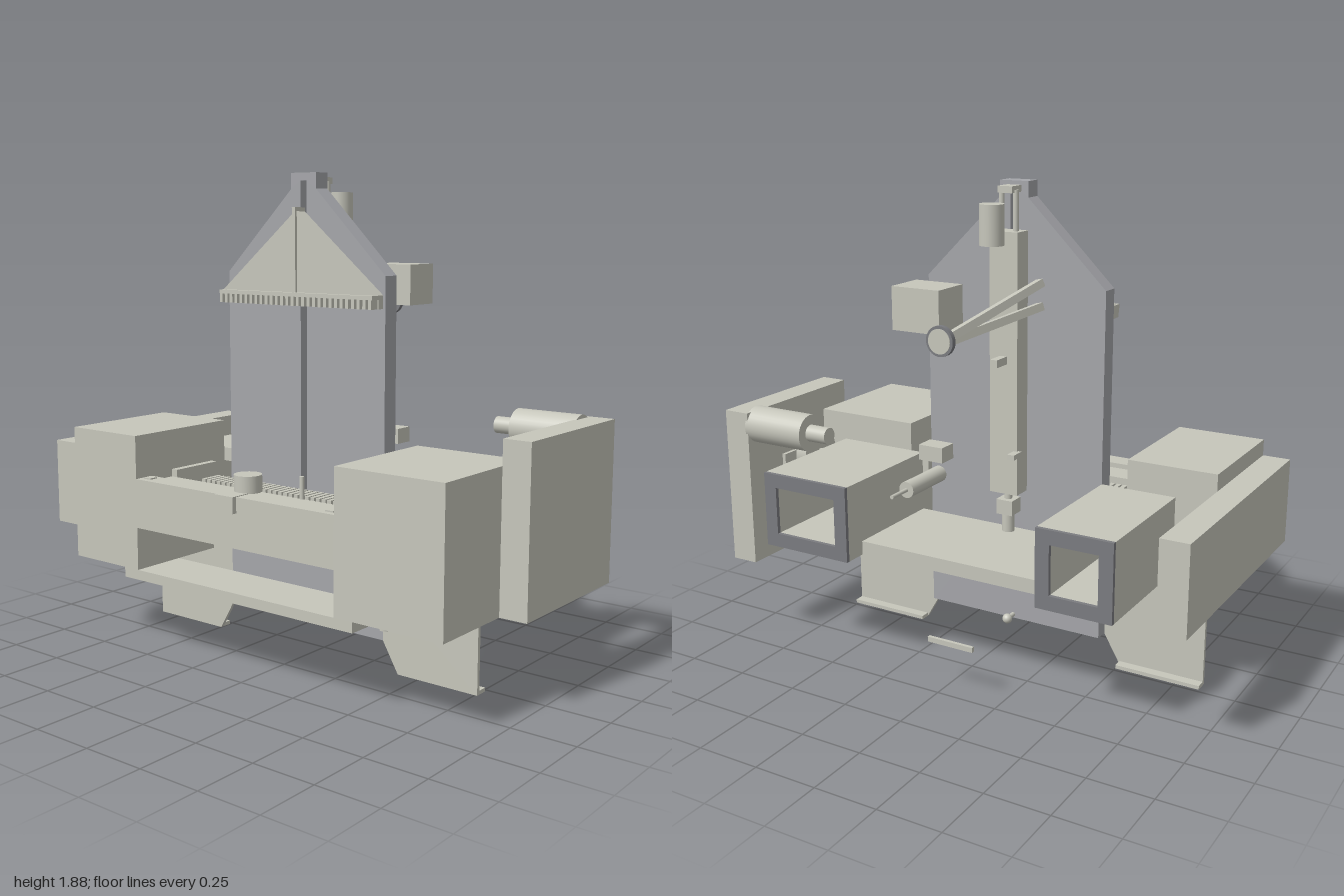
import * as THREE from 'three';

export function createModel() {
  const root = new THREE.Group();
  root.name = 'machine';
  const mat = (name, color) => {
    const m = new THREE.MeshStandardMaterial({ color });
    m.name = name;
    return m;
  };
  const shell = mat('warm grey', 0xc6c6bb);
  const steel = mat('blue grey', 0xa5a6aa);
  const dark = mat('dark grey', 0x7b7c80);

  const add = (name, geo, m = shell, parent = root) => {
    const mesh = new THREE.Mesh(geo, m);
    mesh.name = name;
    parent.add(mesh);
    return mesh;
  };
  // Box from its extents on each axis
  const box = (name, x0, x1, y0, y1, z0, z1, m, parent) => {
    const mesh = add(name, new THREE.BoxGeometry(x1 - x0, y1 - y0, z1 - z0), m, parent);
    mesh.position.set((x0 + x1) / 2, (y0 + y1) / 2, (z0 + z1) / 2);
    return mesh;
  };
  // Cylinder or square bar between two points
  const UP = new THREE.Vector3(0, 1, 0);
  const between = (mesh, a, b) => {
    mesh.position.copy(a).add(b).multiplyScalar(0.5);
    mesh.quaternion.setFromUnitVectors(UP, b.clone().sub(a).normalize());
    return mesh;
  };
  const rod = (name, p, q, r, m, r2 = r) => {
    const a = new THREE.Vector3(...p), b = new THREE.Vector3(...q);
    return between(add(name, new THREE.CylinderGeometry(r2, r, a.distanceTo(b), 32), m), a, b);
  };
  // Flat outline in x/y, extruded from z0 to z1
  const pts = (list) => list.map(([x, y]) => new THREE.Vector2(x, y));
  const rect = (x0, x1, y0, y1) => [[x0, y0], [x1, y0], [x1, y1], [x0, y1]];
  const slab = (name, outline, z0, z1, m, holes = []) => {
    const s = new THREE.Shape(pts(outline));
    holes.forEach((h) => s.holes.push(new THREE.Path(pts(h))));
    const mesh = add(name, new THREE.ExtrudeGeometry(s, { depth: z1 - z0, bevelEnabled: false }), m);
    mesh.position.z = z0;
    return mesh;
  };

  const cx = -0.045; // centre line of plate and column

  // Tall back plate with a vertical slot
  slab('backPlate', [[-0.43, 0.12], [0.34, 0.12], [0.34, 1.5], [0.015, 1.82], [0.015, 1.88],
    [-0.105, 1.88], [-0.105, 1.82], [-0.43, 1.5]], 0, 0.07, steel,
  [rect(cx - 0.015, cx + 0.015, 0.6, 1.85)]);

  // Column, guide rods and cap behind the plate
  box('column', -0.105, 0.015, 0.68, 1.7, -0.08, 0);
  for (const dx of [-0.03, 0.03]) rod('guideRod', [cx + dx, 1.7, -0.04], [cx + dx, 1.85, -0.04], 0.011);
  box('columnCap', -0.075, -0.015, 1.84, 1.865, -0.07, 0);
  rod('columnFoot', [cx, 0.51, -0.04], [cx, 0.6, -0.04], 0.025);
  box('footCollar', cx - 0.035, cx + 0.035, 0.59, 0.65, -0.075, -0.005);
  rod('footSpindle', [cx, 0.65, -0.04], [cx, 0.68, -0.04], 0.015);
  rod('motor', [cx, 1.66, -0.165], [cx, 1.81, -0.165], 0.046);
  box('columnStop', cx - 0.015, cx + 0.015, 1.2, 1.23, -0.155, -0.08);
  box('columnStop', -0.12, -0.09, 0.84, 0.86, -0.13, -0.07);

  // Triangular carriage with hanging needle comb
  slab('carriage', [[-0.42, 1.43], [0.33, 1.43], [cx, 1.74]], 0.07, 0.115);
  box('carriageStrip', cx - 0.008, cx + 0.008, 1.43, 1.75, 0.12, 0.13);
  box('carriageTab', cx - 0.008, cx + 0.008, 1.735, 1.75, 0.07, 0.13);
  box('carriageBar', -0.42, 0.33, 1.415, 1.43, 0.07, 0.14);
  box('carriageBarBack', -0.42, 0.33, 1.38, 1.415, 0.07, 0.1);
  for (let i = 0; i < 29; i++) {
    const x = -0.418 + i * 0.0261;
    box('carriageTooth', x, x + 0.014, 1.38, 1.415, 0.1, 0.14);
  }

  // Front housing: two side boxes joined by a beam and a lower tray
  box('housingRight', 0.44, 0.89, 0.34, 0.875, 0, 0.505);
  box('housingLeft', -0.89, -0.535, 0.34, 0.875, 0, 0.505);
  box('sideChannel', -1, -0.89, 0.47, 0.81, -0.53, 0.505);
  box('controlCabinet', 0.89, 1, 0.34, 0.97, -0.48, 0.15);
  box('frontBeam', -0.535, 0.44, 0.51, 0.705, 0.42, 0.505);
  box('beamStep', -0.535, 0.44, 0.51, 0.685, 0.31, 0.42);
  box('beamLedge', -0.5, 0.41, 0.51, 0.65, 0.25, 0.31);
  box('lowerTray', -0.61, 0.52, 0.3, 0.34, 0.28, 0.505);

  // Lower needle comb between the side boxes
  box('combBase', -0.49, 0.4, 0.58, 0.63, 0.17, 0.25);
  for (let i = 0; i < 29; i++) {
    const x = -0.425 + i * 0.0265;
    box('combTooth', x, x + 0.018, 0.61, 0.68, 0.155, 0.25);
  }
  for (const [s, x] of [[1, -0.535], [-1, 0.44]]) {
    box('combBracket', Math.min(x, x + s * 0.03), Math.max(x, x + s * 0.03), 0.6, 0.715, 0.08, 0.31);
  }

  // Beam fittings
  box('knobBlock', -0.1, -0.01, 0.645, 0.708, 0.42, 0.525);
  rod('knob', [cx, 0.705, 0.4], [cx, 0.77, 0.4], 0.053);
  rod('pin', [0.14, 0.68, 0.31], [0.14, 0.77, 0.31], 0.009);
  for (const x of [-0.5, 0.4]) box('beamPad', x - 0.018, x + 0.018, 0.7, 0.71, 0.445, 0.48);

  // Sheet legs with folded feet
  for (const s of [-1, 1]) {
    const X = (d) => cx + s * d;
    slab('leg', [[X(0.385), 0.36], [X(0.385), 0.12], [X(0.455), 0], [X(0.805), 0], [X(0.805), 0.36]],
      0.055, 0.07);
    box('foot', Math.min(X(0.455), X(0.805)), Math.max(X(0.455), X(0.805)), 0, 0.015, 0.015, 0.06);
  }

  // Rear hollow arms with dark end frames, and the deck between them
  for (const [x0, x1] of [[-0.73, -0.43], [0.385, 0.775]]) {
    const hole = rect(x0 + 0.055, x1 - 0.055, 0.515, 0.705);
    slab('rearArm', rect(x0, x1, 0.46, 0.76), -0.515, 0, shell, [hole]);
    slab('rearArmFrame', rect(x0, x1, 0.46, 0.76), -0.53, -0.515, dark, [hole]);
  }
  box('rearDeck', -0.43, 0.385, 0.46, 0.515, -0.43, 0);

  // Motors next to the cabinet
  rod('driveMotor', [0.63, 0.912, -0.412], [0.9, 0.912, -0.412], 0.073);
  rod('driveShaft', [0.54, 0.912, -0.412], [0.63, 0.912, -0.412], 0.033);
  rod('pulley', [0.83, 0.72, -0.105], [0.895, 0.72, -0.105], 0.1);
  rod('pulleyShaft', [0.775, 0.72, -0.105], [0.83, 0.72, -0.105], 0.017);
  box('cabinetBracket', 0.875, 0.892, 0.6, 0.75, -0.28, -0.21);

  // Free-standing control parts behind the plate
  box('controlBox', 0.01, 0.21, 1.37, 1.53, -0.44, -0.28);
  box('sensorBox', 0.115, 0.22, 0.83, 0.89, -0.27, -0.19);
  rod('pistonBody', [0.29, 0.69, -0.26], [0.29, 0.69, -0.02], 0.033);
  rod('pistonRod', [0.29, 0.69, -0.36], [0.29, 0.69, -0.26], 0.008);
  box('pedalBar', -0.145, 0.05, 0.195, 0.215, -0.487, -0.473);

  // Swinging arm of two struts with an end disc
  const strut = (p, q, w) => {
    const a = new THREE.Vector3(...p), b = new THREE.Vector3(...q);
    between(add('armStrut', new THREE.BoxGeometry(w, a.distanceTo(b), 0.03)), a, b);
  };
  strut([-0.165, 1.51, -0.01], [-0.05, 1.37, -0.505], 0.035);
  strut([-0.165, 1.42, -0.01], [-0.05, 1.36, -0.505], 0.035);
  rod('armDiscRim', [cx, 1.37, -0.524], [cx, 1.37, -0.505], 0.055, dark);
  rod('armDisc', [cx, 1.37, -0.527], [cx, 1.37, -0.523], 0.045);

  // Small fittings under the machine
  rod('valve', [-0.935, 0.44, 0.41], [-0.935, 0.47, 0.41], 0.024);
  rod('valve', [0.47, 0.28, 0.35], [0.47, 0.3, 0.35], 0.014);
  for (const z of [0.285, 0.32, 0.405]) rod('valve', [0.585, 0.3, z], [0.585, 0.34, z], 0.018);
  rod('underPost', [cx, 0.3, -0.035], [cx, 0.46, -0.035], 0.018);
  rod('handleStem', [cx, 0.135, -0.045], [cx, 0.135, 0], 0.009);
  add('handleBall', new THREE.SphereGeometry(0.02, 20, 14)).position.set(cx, 0.135, -0.048);
  for (const x of [-0.24, 0.155]) rod('platePin', [x, 0.108, 0.035], [x, 0.122, 0.035], 0.008);

  return root;
}
